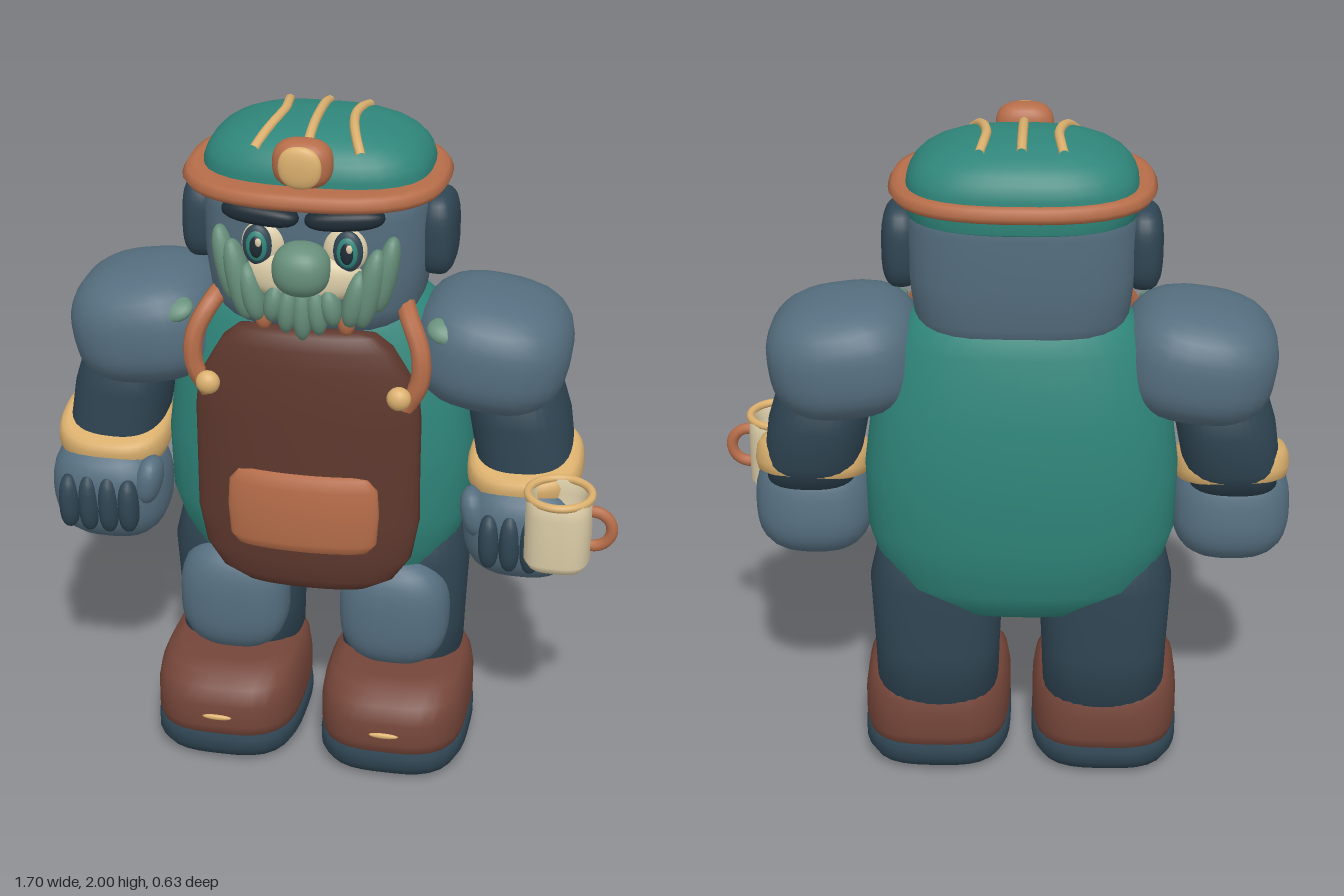
import * as THREE from 'three';
import { mergeVertices } from 'three/addons/utils/BufferGeometryUtils.js';

const mat = (name, color) => Object.assign(new THREE.MeshStandardMaterial({ color }), { name });
const slate = mat('slate', 0x556e7f), navy = mat('navy', 0x2f4553), teal = mat('teal', 0x2f857a);
const apronBrown = mat('apron brown', 0x5e382e), bootBrown = mat('boot brown', 0x744539);
const copper = mat('copper', 0xb66d49), tan = mat('tan', 0xdbb06e), cream = mat('cream', 0xdccda8);
const moss = mat('moss', 0x678f7b), ink = mat('ink', 0x1e2b35);

// Superellipsoid: n = 2 is an ellipsoid, larger n is boxier
function blob(rx, ry, rz, n = 2, seg = 28) {
  let g = new THREE.SphereGeometry(1, seg, Math.round(seg * 0.7));
  g.deleteAttribute('uv');
  g.deleteAttribute('normal');
  const p = g.attributes.position;
  for (let i = 0; i < p.count; i++) {
    const [x, y, z] = [p.getX(i), p.getY(i), p.getZ(i)];
    const d = (Math.abs(x) ** n + Math.abs(y) ** n + Math.abs(z) ** n) ** (1 / n);
    p.setXYZ(i, x / d * rx, y / d * ry, z / d * rz);
  }
  g = mergeVertices(g, 1e-5);
  g.computeVertexNormals();
  return g;
}

// Stacked superellipse sections [y, rx, rz, cx, cz]; bend curves the sides back
function loft(rings, n = 2.6, bend = 0, seg = 40) {
  const pos = [], idx = [];
  const f = rings[0], l = rings[rings.length - 1];
  const all = [[f[0], 1e-3, 1e-3, f[3], f[4]], ...rings, [l[0], 1e-3, 1e-3, l[3], l[4]]];
  all.forEach(([y, rx, rz, cx = 0, cz = 0], j) => {
    for (let i = 0; i < seg; i++) {
      const a = i / seg * Math.PI * 2, c = Math.cos(a), s = Math.sin(a);
      const d = (Math.abs(c) ** n + Math.abs(s) ** n) ** (1 / n), x = c / d * rx;
      pos.push(x + cx, y, s / d * rz + cz - bend * x * x);
      if (j < all.length - 1) {
        const A = j * seg + i, C = j * seg + (i + 1) % seg;
        idx.push(A, A + seg, C, C, A + seg, C + seg);
      }
    }
  });
  const g = new THREE.BufferGeometry();
  g.setAttribute('position', new THREE.Float32BufferAttribute(pos, 3));
  g.setIndex(idx);
  g.computeVertexNormals();
  return g;
}

const tube = (pts, r) => new THREE.TubeGeometry(
  new THREE.CatmullRomCurve3(pts.map(p => new THREE.Vector3(...p))), 28, r, 8);

export function createModel() {
  const root = new THREE.Group();
  const body = new THREE.Group();
  body.name = 'body';
  body.position.x = -0.053;
  root.add(body);
  const add = (name, geo, m, pos = [0, 0, 0], rot = [0, 0, 0]) => {
    const mesh = new THREE.Mesh(geo, m);
    mesh.name = name;
    mesh.position.set(...pos);
    mesh.rotation.set(...rot);
    body.add(mesh);
    return mesh;
  };

  // Torso, apron and pocket
  add('torso', loft([[0.52, 0.16, 0.09], [0.55, 0.29, 0.16], [0.64, 0.4, 0.215], [0.8, 0.45, 0.247],
    [1, 0.455, 0.257], [1.2, 0.43, 0.25], [1.4, 0.37, 0.215], [1.47, 0.3, 0.175], [1.5, 0.2, 0.1]]
    .map(([y, a, b]) => [y, a, b, 0, -0.06]), 2.5), teal);
  add('apron', loft([[0.585, 0.1, 0.015], [0.595, 0.18, 0.03], [0.63, 0.255, 0.045], [0.7, 0.305, 0.05],
    [0.82, 0.327, 0.05], [1.15, 0.327, 0.05], [1.24, 0.318, 0.05], [1.31, 0.28, 0.05], [1.37, 0.245, 0.047],
    [1.41, 0.2, 0.035], [1.42, 0.15, 0.015]]
    .map(([y, a, b]) => [y, a, b, 0, 0.203 - 0.15 * (y - 1) ** 2]), 4, 0.5, 56), apronBrown);
  add('pocket', loft([[0.74, 0.16, 0.008], [0.746, 0.19, 0.02], [0.775, 0.215, 0.03], [0.87, 0.222, 0.034],
    [0.95, 0.217, 0.03], [0.985, 0.19, 0.02], [0.993, 0.15, 0.008]]
    .map(([y, a, b]) => [y, a, b, 0, 0.243]), 4, 0.5), copper);

  // Head and face
  add('head', loft([[1.38, 0.2, 0.14], [1.41, 0.27, 0.19], [1.48, 0.305, 0.215], [1.6, 0.32, 0.23],
    [1.75, 0.32, 0.235], [1.83, 0.31, 0.23]].map(([y, a, b]) => [y, a, b, 0, -0.04]), 3), slate);
  add('muzzle', blob(0.165, 0.075, 0.06, 2.4), cream, [0, 1.59, 0.18]);
  add('nose', blob(0.082, 0.076, 0.075, 2.3), moss, [0, 1.625, 0.225]);
  for (const [x, y, h] of [[0, 1.49, 0.085], [-0.042, 1.5, 0.075], [0.042, 1.5, 0.075], [-0.08, 1.515, 0.06], [0.08, 1.515, 0.06]])
    add('beardStrand', blob(0.03, h, 0.04, 2, 16), moss, [x, y, 0.215], [0, 0, x * 2]);

  // Hat
  const RX = 0.325, RZ = 0.235, N = 2.8, P = 2.5, CZ = -0.045;
  const crownY = s => 1.83 + 0.158 * Math.max(0, 1 - s ** P) ** (1 / P);
  const steps = [1, 0.99, 0.97, 0.93, 0.87, 0.78, 0.65, 0.5, 0.3, 0.1];
  add('hatCrown', loft([[1.765, 0.3, 0.225, 0, CZ], [1.775, 0.322, 0.238, 0, CZ],
    ...steps.map(s => [crownY(s), RX * s, RZ * s, 0, CZ])], N), teal);
  add('hatBrim', loft([[1.806, 0.34, 0.265], [1.812, 0.363, 0.287], [1.83, 0.375, 0.298],
    [1.85, 0.363, 0.287], [1.856, 0.345, 0.27], [1.85, 0.31, 0.22]]
    .map(([y, a, b]) => [y, a, b, 0, -0.012]), 2.6), copper);
  for (const s of [-1, 0, 1]) {
    const pts = [[0.115, -0.175], [0.105, -0.11], [0.1, -0.04], [0.112, 0.04], [0.13, 0.1], [0.148, 0.14]].map(([x, z]) => {
      const d = (Math.abs(s * x / RX) ** N + Math.abs((z - CZ) / RZ) ** N) ** (1 / N);
      return [s * x, crownY(d), z];
    });
    add('hatStripe', tube(pts, 0.014), tan);
  }
  add('lampHousing', blob(0.083, 0.068, 0.052, 2.7), copper, [0, 1.925, 0.198]);
  add('lampLens', blob(0.06, 0.06, 0.02, 2.3), tan, [0, 1.925, 0.24]);

  for (const s of [-1, 1]) {
    // Face details on each side
    add('ear', blob(0.055, 0.122, 0.097, 3), navy, [s * 0.34, 1.66, -0.045]);
    add('eyebrow', blob(0.11, 0.03, 0.04, 2.6), ink, [s * 0.118, 1.775, 0.21], [0, s * 0.12, s * 0.06]);
    add('eyePatch', blob(0.062, 0.068, 0.03), cream, [s * 0.115, 1.675, 0.185]);
    add('eyeRim', blob(0.042, 0.06, 0.02), navy, [s * 0.127, 1.68, 0.208]);
    add('iris', blob(0.031, 0.046, 0.014), teal, [s * 0.127, 1.68, 0.218]);
    add('pupil', blob(0.019, 0.032, 0.01, 2, 16), ink, [s * 0.127, 1.68, 0.227]);
    add('eyeGlint', blob(0.009, 0.013, 0.005, 2, 12), cream, [s * 0.127 + 0.008, 1.697, 0.235]);
    for (const [x, y, z, w, h] of [[0.225, 1.6, 0.165, 0.032, 0.115], [0.185, 1.565, 0.19, 0.034, 0.12], [0.145, 1.535, 0.2, 0.032, 0.085]])
      add('whisker', blob(w, h, 0.045, 2.3, 18), moss, [s * x, y, z], [0, 0, -s * 0.2]);
    add('chinTuft', blob(0.025, 0.045, 0.03, 2.3, 14), copper, [s * 0.118, 1.46, 0.18]);

    // Apron straps
    add('strap', tube([[s * 0.285, 1.2, 0.17], [s * 0.325, 1.28, 0.175], [s * 0.325, 1.37, 0.165],
      [s * 0.285, 1.455, 0.12], [s * 0.25, 1.485, 0.02], [s * 0.24, 1.45, -0.1]], 0.028), copper);
    add('strapButton', blob(0.035, 0.035, 0.03, 2, 18), tan, [s * 0.275, 1.25, 0.222]);

    // Arms
    add('shoulder', blob(0.225, 0.175, 0.23, 2.7), slate, [s * 0.505, 1.325, -0.04], [0, 0, -s * 0.14]);
    add('mossPatch', blob(0.055, 0.025, 0.045, 2, 16), moss, [s * 0.39, 1.425, 0.125], [0.6, 0, -s * 0.2]);
    add('arm', loft([[0.92, 0.13, 0.13, s * 0.62, -0.01], [1.0, 0.142, 0.15, s * 0.61, -0.03],
      [1.12, 0.145, 0.157, s * 0.59, -0.04], [1.3, 0.13, 0.15, s * 0.55, -0.04]]), navy);
    add('cuff', loft([[-0.05, 0.145, 0.145], [-0.043, 0.16, 0.16], [-0.015, 0.168, 0.167],
      [0.02, 0.166, 0.165], [0.04, 0.156, 0.155], [0.046, 0.14, 0.14]], 2.6), tan, [s * 0.615, 0.975, 0], [0.25, 0, s * 0.04]);
    add('hand', blob(0.175, 0.165, 0.155, 2.7), slate, [s * 0.62, 0.81, 0.045], [0.15, 0, 0]);
    for (let i = 0; i < 4; i++)
      add('finger', blob(0.031, 0.095 - Math.abs(i - 1.5) * 0.006, 0.045, 2.5, 18), navy, [s * (0.537 + i * 0.06), 0.8, 0.18]);
    add('thumb', blob(0.04, 0.075, 0.06, 2.4, 18), slate, [s * 0.487, 0.865, 0.13], [0, 0, s * 0.2]);

    // Legs and boots
    add('leg', loft([[0.2, 0.18, 0.15, s * 0.25, -0.07], [0.4, 0.187, 0.155, s * 0.25, -0.07],
      [0.62, 0.198, 0.165, s * 0.25, -0.065], [0.74, 0.18, 0.15, s * 0.24, -0.065], [0.82, 0.11, 0.09, s * 0.23, -0.065]], 2.8), navy);
    add('kneePad', blob(0.165, 0.18, 0.115, 2.7), slate, [s * 0.245, 0.475, 0.065]);
    add('boot', loft([[0.08, 0.21, 0.255, 0, 0.037], [0.13, 0.22, 0.267, 0, 0.037], [0.2, 0.22, 0.265, 0, 0.037],
      [0.25, 0.213, 0.25, 0, 0.03], [0.285, 0.195, 0.22, 0, 0.015], [0.3, 0.16, 0.18, 0, 0.01]]
      .map(([y, a, b, , z]) => [y, a, b, s * 0.255, z]), 3.2), bootBrown);
    add('sole', loft([[0.012, 0.175, 0.215], [0.02, 0.205, 0.25], [0.05, 0.222, 0.268], [0.085, 0.222, 0.268], [0.105, 0.21, 0.257]]
      .map(([y, a, b]) => [y, a, b, s * 0.255, 0.037]), 3.2), navy);
    add('tread', loft([[0, 0.14, 0.18], [0.014, 0.165, 0.205]]
      .map(([y, a, b]) => [y, a, b, s * 0.255, 0.037]), 3.2), apronBrown);
    add('bootStitch', blob(0.045, 0.009, 0.008, 2, 14), tan, [s * 0.255, 0.163, 0.303]);
  }

  // Mug held in the left hand
  const mug = [0.738, 0, 0.213];
  add('mug', loft([[0.77, 0.06, 0.06], [0.775, 0.08, 0.08], [0.8, 0.094, 0.094], [0.95, 0.094, 0.094],
    [0.995, 0.09, 0.09], [0.995, 0.078, 0.078], [0.95, 0.078, 0.078], [0.82, 0.072, 0.072]], 3.2), cream, mug);
  add('mugRim', new THREE.TorusGeometry(0.091, 0.012, 10, 36), tan, [0.738, 0.993, 0.213], [Math.PI / 2, 0, 0]);
  add('mugHandle', new THREE.TorusGeometry(0.055, 0.017, 10, 24, Math.PI * 1.2), copper, [0.835, 0.89, 0.213], [0, 0, -Math.PI * 0.6]);
  return root;
}
